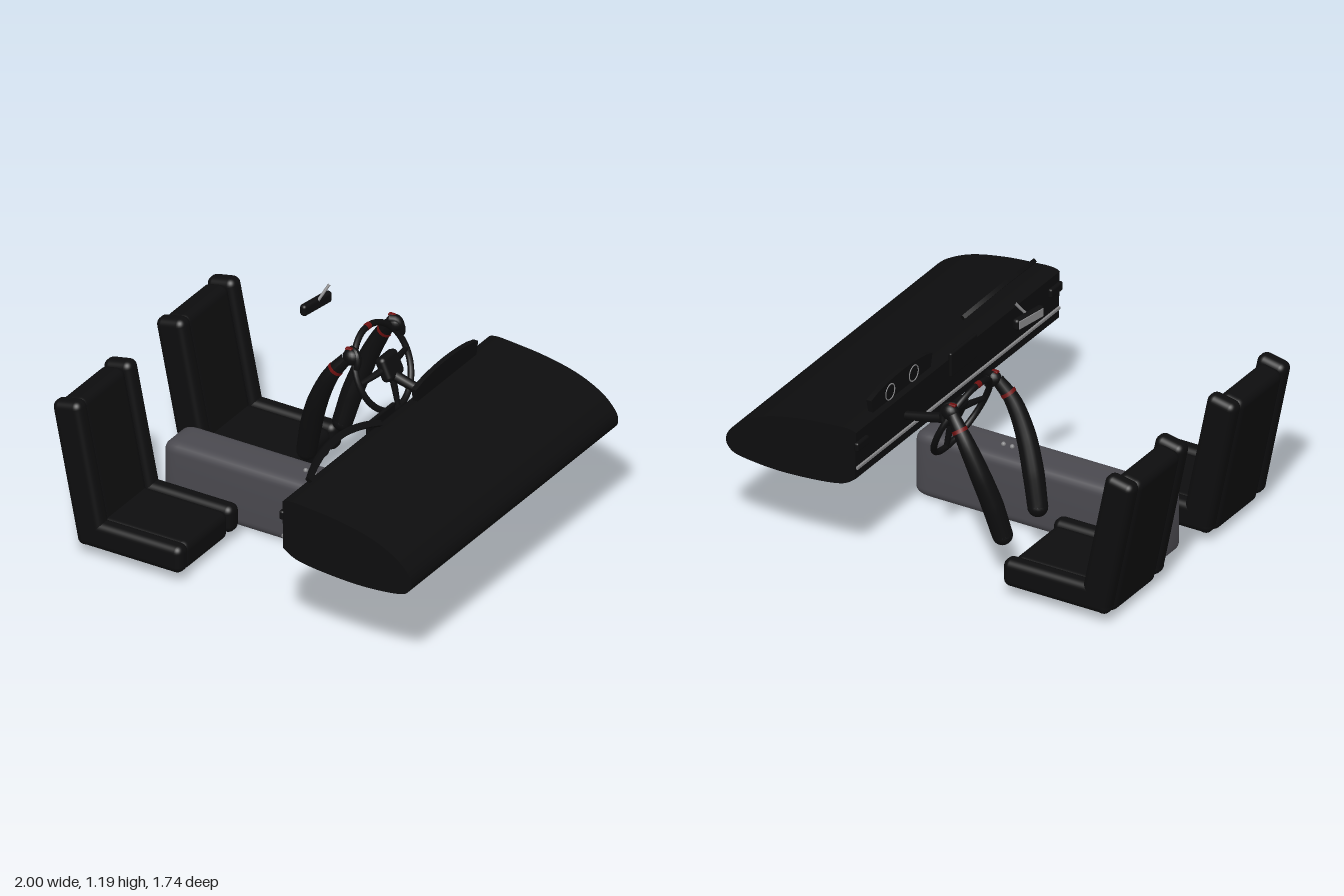
import * as THREE from 'three';
import { toCreasedNormals } from 'three/addons/utils/BufferGeometryUtils.js';
import { RoundedBoxGeometry } from 'three/addons/geometries/RoundedBoxGeometry.js';

const mat = (name, color) => Object.assign(new THREE.MeshStandardMaterial({ color }), { name });
const V = (x, y, z) => new THREE.Vector3(x, y, z);

export function createModel() {
  const black = mat('black trim', 0x0d0d0e);
  const grey = mat('console grey', 0x4a494f);
  const silver = mat('silver', 0x858587);
  const red = mat('dark red', 0x6e1010);
  const model = new THREE.Group();
  model.name = 'cockpit';
  const DRIVER = -0.435;

  function add(parent, name, geometry, material, x = 0, y = 0, z = 0) {
    const mesh = new THREE.Mesh(geometry, material);
    mesh.name = name;
    mesh.position.set(x, y, z);
    parent.add(mesh);
    return mesh;
  }
  const box = (w, h, d, r) => new RoundedBoxGeometry(w, h, d, 4, r);

  // Extrude an outline drawn in (z, y) by a thickness centred on x
  function plateAcrossX(shape, depth, options = {}) {
    const g = new THREE.ExtrudeGeometry(shape, { depth, bevelEnabled: false, curveSegments: 16, ...options });
    g.translate(0, 0, -depth / 2);
    g.rotateY(-Math.PI / 2);
    return toCreasedNormals(g, 0.6);
  }

  // Round tube whose radius follows a list of values along the path
  function taperedTube(points, radii, segments = 28, sides = 16) {
    const curve = new THREE.CatmullRomCurve3(points);
    const g = new THREE.TubeGeometry(curve, segments, 1, sides, false);
    const p = g.attributes.position;
    const v = V(0, 0, 0);
    for (let i = 0; i <= segments; i++) {
      const t = i / segments;
      const c = curve.getPointAt(t);
      const f = t * (radii.length - 1);
      const k = Math.min(Math.floor(f), radii.length - 2);
      const r = THREE.MathUtils.lerp(radii[k], radii[k + 1], f - k);
      for (let j = 0; j <= sides; j++) {
        const n = i * (sides + 1) + j;
        v.fromBufferAttribute(p, n).sub(c).multiplyScalar(r).add(c);
        p.setXYZ(n, v.x, v.y, v.z);
      }
    }
    g.computeVertexNormals();
    return g;
  }

  // Dashboard: one smooth profile along the full width
  const dash = new THREE.Shape();
  dash.moveTo(0.33, 0.5);
  dash.lineTo(0.325, 0.735);
  dash.quadraticCurveTo(0.34, 0.75, 0.4, 0.747);
  dash.splineThru([[0.6, 0.728], [0.78, 0.69], [0.91, 0.63], [0.98, 0.565], [1, 0.515],
    [0.985, 0.475], [0.93, 0.447], [0.75, 0.43], [0.55, 0.438], [0.4, 0.46], [0.33, 0.5]]
    .map(([x, y]) => new THREE.Vector2(x, y)));
  const dashGeo = new THREE.ExtrudeGeometry(dash, { depth: 1.73, bevelEnabled: false, curveSegments: 40 });
  dashGeo.translate(0, 0, -0.865);
  add(model, 'dashboard', toCreasedNormals(dashGeo, 0.6), black);
  add(model, 'dashTrim', new THREE.BoxGeometry(0.012, 0.012, 1.72), silver, 0.324, 0.555, 0);
  for (const s of [-1, 1]) add(model, 'sideVent', box(0.025, 0.045, 0.1, 0.01), black, 0.322, 0.665, s * 0.822);
  add(model, 'centreScreen', box(0.018, 0.12, 0.225, 0.008), black, 0.312, 0.715, 0.022);

  // Instrument hood with flared ends, and its two dials
  const hood = new THREE.Shape();
  hood.moveTo(-0.24, 0.72);
  hood.lineTo(-0.26, 0.81);
  hood.lineTo(-0.205, 0.825);
  hood.quadraticCurveTo(0, 0.86, 0.205, 0.825);
  hood.lineTo(0.26, 0.81);
  hood.lineTo(0.24, 0.72);
  add(model, 'instrumentHood', plateAcrossX(hood, 0.025), black, 0.362, 0, DRIVER);
  for (const s of [-1, 1]) {
    const dial = add(model, 'dialRing', new THREE.TorusGeometry(0.038, 0.003, 8, 28), silver, 0.349, 0.782, DRIVER + s * 0.1);
    dial.rotation.y = Math.PI / 2;
  }

  // Arched strip above the passenger side, leaning back
  const arch = new THREE.Shape();
  arch.moveTo(-0.305, 0);
  arch.quadraticCurveTo(0, 0.125, 0.305, 0);
  arch.lineTo(0.295, -0.02);
  arch.quadraticCurveTo(0, 0.09, -0.295, -0.02);
  const strip = add(model, 'archedStrip', plateAcrossX(arch, 0.02), black, 0.39, 0.822, 0.46);
  strip.rotation.z = 0.72;
  strip.scale.y = 1.2;

  // Centre console with softened ends and a row of buttons
  const section = new THREE.Shape();
  const w = 0.083, h = 0.138, r = 0.025;
  section.moveTo(-w + r, -h);
  section.lineTo(w - r, -h);
  section.quadraticCurveTo(w, -h, w, -h + r);
  section.lineTo(w, h - r);
  section.quadraticCurveTo(w, h, w - r, h);
  section.lineTo(-w + r, h);
  section.quadraticCurveTo(-w, h, -w, h - r);
  section.lineTo(-w, -h + r);
  section.quadraticCurveTo(-w, -h, -w + r, -h);
  const consoleGeo = plateAcrossX(section, 1.12, { bevelEnabled: true, bevelThickness: 0.07, bevelSize: 0.025, bevelSegments: 5, curveSegments: 6 });
  add(model, 'centreConsole', consoleGeo, grey, -0.143, 0.175, 0);
  for (let i = 0; i < 5; i++) add(model, 'consoleButton', new THREE.SphereGeometry(0.011, 12, 8), silver, -0.095 + i * 0.045, 0.342, -0.004);

  // Seats: cushion and backrest, each with a pair of side bolsters
  for (const z of [DRIVER, 0.43]) {
    const seat = new THREE.Group();
    seat.name = 'seat';
    seat.position.z = z;
    model.add(seat);
    add(seat, 'seatCushion', box(0.53, 0.14, 0.37, 0.04), black, -0.602, 0.115, 0);
    const back = new THREE.Group();
    back.name = 'backrest';
    back.position.set(-0.795, 0.08, 0);
    back.rotation.z = 0.2;
    seat.add(back);
    add(back, 'backPanel', box(0.125, 0.7, 0.37, 0.04), black, -0.008, 0.335, 0);
    for (const s of [-1, 1]) {
      add(seat, 'cushionBolster', box(0.55, 0.135, 0.085, 0.035), black, -0.597, 0.132, s * 0.212);
      add(back, 'backBolster', box(0.15, 0.71, 0.085, 0.035), black, 0.004, 0.345, s * 0.212);
    }
  }

  // Steering wheel, built about the local x axis and then tilted
  const wheel = new THREE.Group();
  wheel.name = 'steeringWheel';
  wheel.position.set(0.038, 0.703, DRIVER);
  wheel.rotation.z = 0.423;
  model.add(wheel);
  add(wheel, 'rim', new THREE.TorusGeometry(0.198, 0.015, 12, 56), black).rotation.y = Math.PI / 2;
  const mark = new THREE.TorusGeometry(0.198, 0.0165, 12, 8, 0.16);
  mark.rotateZ(Math.PI / 2 - 0.08);
  mark.rotateY(Math.PI / 2);
  add(wheel, 'topMarker', mark, red);
  add(wheel, 'hub', box(0.055, 0.12, 0.13, 0.022), black, 0.04, 0, 0);
  for (const a of [0, Math.PI, -Math.PI / 2]) {
    const c = Math.cos(a), s = Math.sin(a);
    add(wheel, 'spoke', taperedTube([V(0.035, s * 0.04, c * 0.04), V(0.018, s * 0.12, c * 0.12), V(0, s * 0.196, c * 0.196)], [0.018, 0.012], 8, 10), black);
  }
  add(model, 'steeringColumn', taperedTube([V(0.07, 0.685, DRIVER), V(0.2, 0.65, DRIVER), V(0.34, 0.62, DRIVER)], [0.026, 0.02], 8), black);

  // Arms reaching from below up to the rim, with gloved hands
  for (const s of [-1, 1]) {
    const arm = new THREE.Group();
    arm.name = 'arm';
    arm.position.z = DRIVER;
    model.add(arm);
    const path = [V(-0.265, 0.26, s * 0.15), V(-0.225, 0.42, s * 0.175), V(-0.17, 0.58, s * 0.2), V(-0.1, 0.725, s * 0.207), V(-0.03, 0.82, s * 0.19)];
    add(arm, 'sleeve', taperedTube(path, [0.047, 0.05, 0.047, 0.04, 0.028]), black);
    add(arm, 'sleeveEnd', new THREE.SphereGeometry(0.047, 18, 12), black, ...path[0].toArray());
    const hand = add(arm, 'hand', new THREE.SphereGeometry(0.04, 18, 12), black, -0.012, 0.825, s * 0.18);
    hand.scale.set(1.05, 1, 0.9);
    const fingers = [V(-0.03, 0.85, s * 0.16), V(0.005, 0.845, s * 0.175), V(0.022, 0.805, s * 0.185), V(0.02, 0.775, s * 0.19)];
    add(arm, 'fingers', taperedTube(fingers, [0.018, 0.02, 0.014], 12, 12), black);
    add(arm, 'gloveStripe', box(0.034, 0.012, 0.022, 0.005), red, -0.025, 0.862, s * 0.18);
    add(arm, 'gloveCuff', taperedTube([V(-0.082, 0.752, s * 0.206), V(-0.077, 0.759, s * 0.205), V(-0.072, 0.766, s * 0.204)], [0.0375, 0.0365], 2), red);
  }

  // Rear-view mirror on its stalk
  const mirror = new THREE.Group();
  mirror.name = 'mirror';
  mirror.position.set(-0.132, 1.115, -0.148);
  mirror.rotation.y = -0.16;
  model.add(mirror);
  add(mirror, 'mirrorShell', box(0.035, 0.056, 0.19, 0.015), black);
  add(mirror, 'mirrorGlass', box(0.006, 0.04, 0.165, 0.002), silver, -0.017, 0, 0);
  add(model, 'mirrorStalk', taperedTube([V(-0.122, 1.13, -0.148), V(-0.107, 1.165, -0.172), V(-0.092, 1.2, -0.197)], [0.007, 0.007], 4, 10), silver);

  return model;
}
